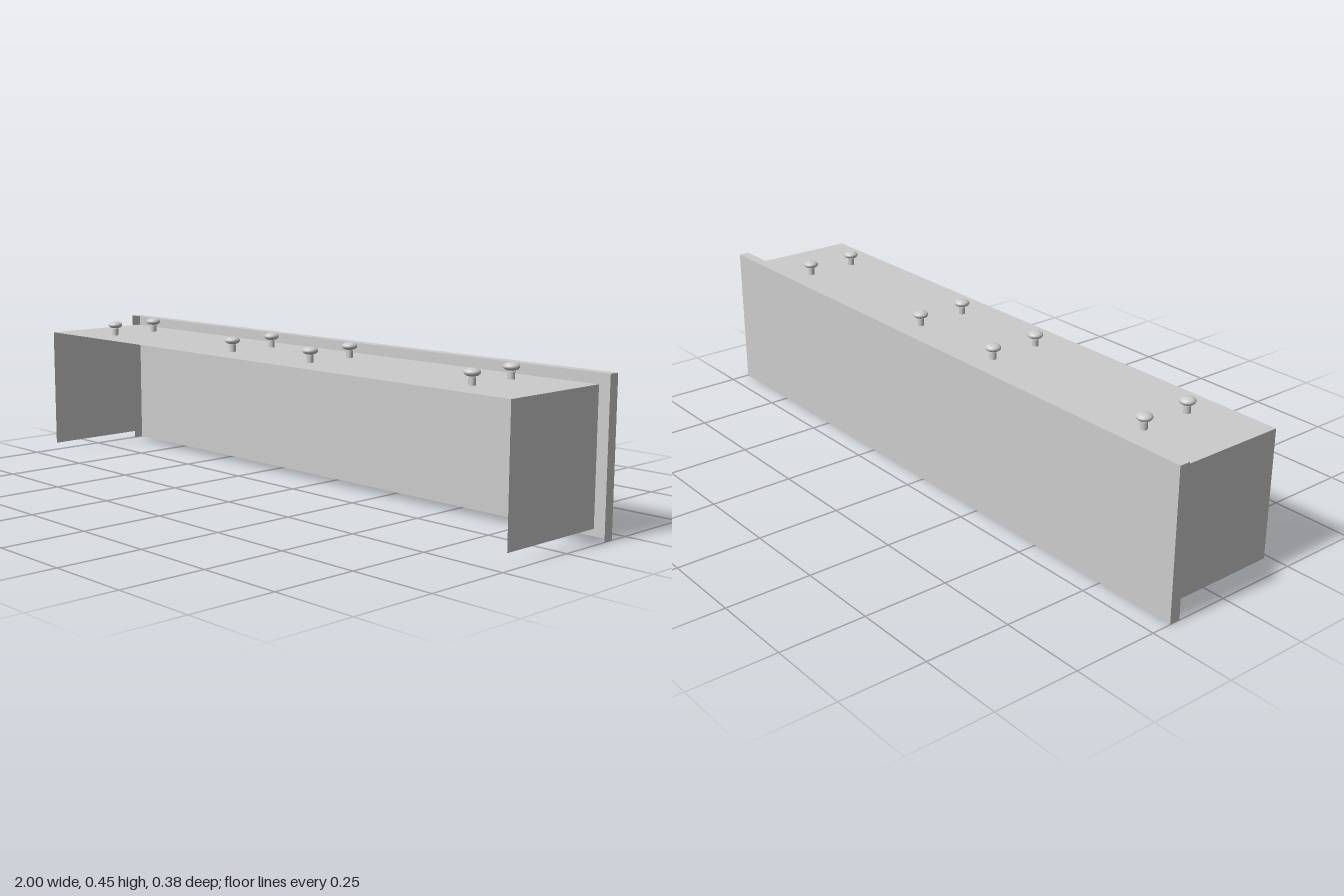
import * as THREE from 'three';

const material = new THREE.MeshStandardMaterial({ color: 0xcccccc, side: THREE.DoubleSide });

function addMesh(parent, name, geometry, x, y, z) {
  const mesh = new THREE.Mesh(geometry, material);
  mesh.name = name;
  mesh.position.set(x, y, z);
  parent.add(mesh);
  return mesh;
}

export function createModel() {
  const model = new THREE.Group();
  model.name = 'shelfWithPegs';

  const halfWidth = 0.966, bottom = 0.03, top = 0.405, front = 0.192, back = -0.159;
  const depth = front - back, midZ = (front + back) / 2;
  const boardHeight = 0.435, boardBack = -0.191;
  const lipDepth = back - boardBack, lipZ = (back + boardBack) / 2;

  // Back board: a hollow sheet with a top lip and two end lips, open in front and below
  const sheet = addMesh(model, 'backBoard', new THREE.PlaneGeometry(2, boardHeight), 0, boardHeight / 2, boardBack);
  sheet.rotation.y = Math.PI;
  const topLip = addMesh(model, 'backBoardTopLip', new THREE.PlaneGeometry(2, lipDepth), 0, boardHeight, lipZ);
  topLip.rotation.x = -Math.PI / 2;

  // Thin shelf top, open at the front and below
  const shelf = addMesh(model, 'shelfTop', new THREE.PlaneGeometry(halfWidth * 2, depth), 0, top, midZ);
  shelf.rotation.x = -Math.PI / 2;

  // End lips of the board and end panels of the shelf
  for (const side of [-1, 1]) {
    const prefix = side > 0 ? 'left' : 'right';
    const lip = addMesh(model, prefix + 'BoardLip',
      new THREE.PlaneGeometry(lipDepth, boardHeight), side, boardHeight / 2, lipZ);
    const panel = addMesh(model, prefix + 'EndPanel',
      new THREE.PlaneGeometry(depth, top - bottom), side * halfWidth, (top + bottom) / 2, midZ);
    lip.rotation.y = panel.rotation.y = side * Math.PI / 2;
  }

  // Pegs: stem with a narrow neck, under a flattened knob that is open below
  const stemProfile = [[0.0098, 0], [0.0098, 0.0215], [0.006, 0.0215], [0.006, 0.03]];
  const stemGeometry = new THREE.LatheGeometry(stemProfile.map(([r, y]) => new THREE.Vector2(r, y)), 20)
    .toNonIndexed();
  stemGeometry.computeVertexNormals();
  const knobGeometry = new THREE.SphereGeometry(0.0223, 24, 16, 0, Math.PI * 2, 0, Math.PI * 0.83)
    .scale(1, 0.51, 1);
  for (const x of [-0.759, -0.168, 0.168, 0.759]) {
    for (const z of [0.089, -0.067]) {
      const peg = new THREE.Group();
      peg.name = 'peg';
      peg.position.set(x, top, z);
      addMesh(peg, 'pegStem', stemGeometry, 0, 0, 0);
      addMesh(peg, 'pegKnob', knobGeometry, 0, 0.0335, 0);
      model.add(peg);
    }
  }
  return model;
}
